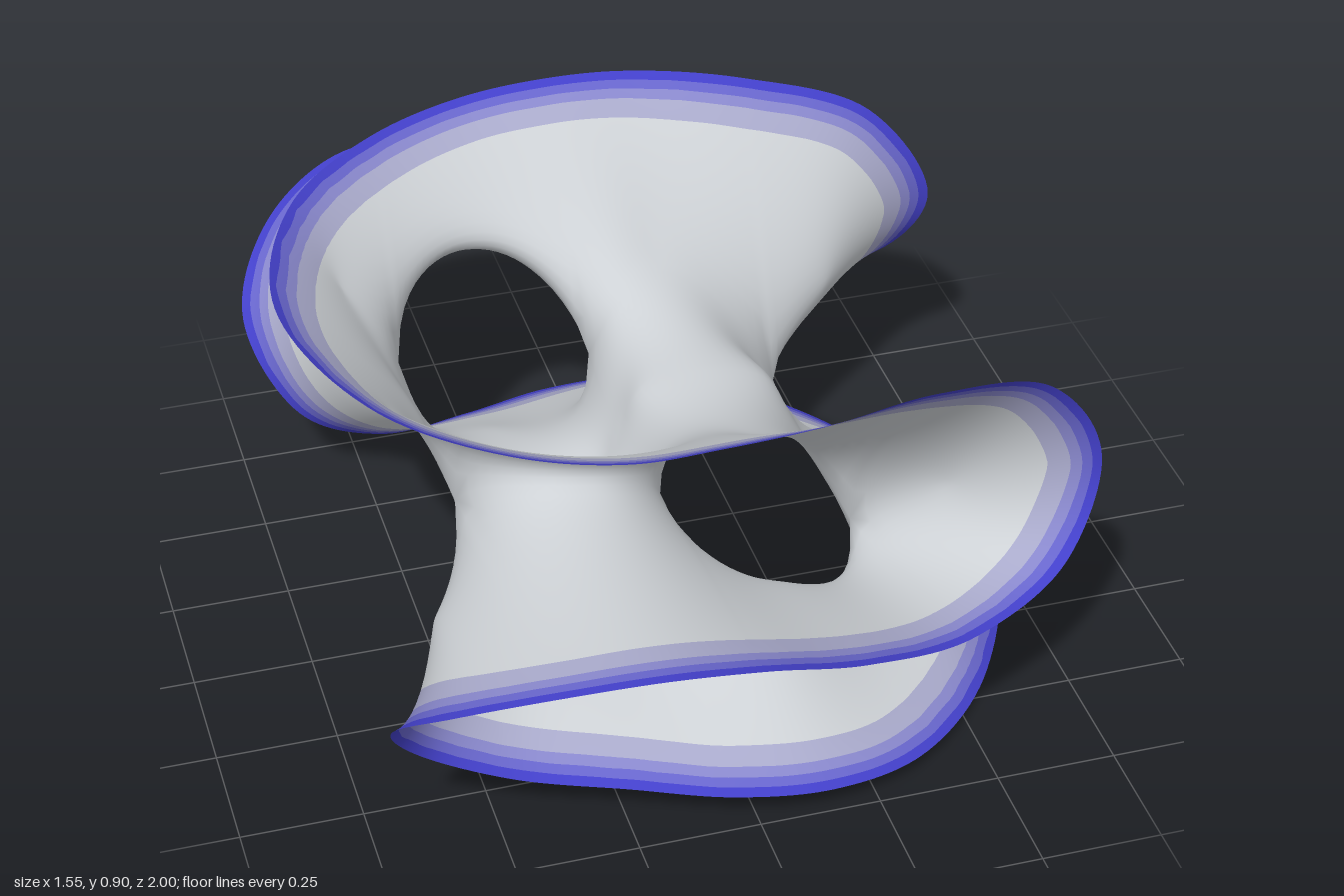
import * as THREE from 'three';

const N = 12; // grid steps per patch side

// Half of the rim (z >= 0): upper strand, right lobe, middle strand, left lobe, lower strand
const RIM = [
  [-0.775, 0.89, 0],
  [-0.66, 0.885, 0.39], [-0.45, 0.885, 0.6], [-0.25, 0.89, 0.69], [-0.07, 0.9, 0.705],
  [0.13, 0.9, 0.69], [0.38, 0.88, 0.62], [0.64, 0.8, 0.55],
  [0.775, 0.58, 0.515],
  [0.68, 0.395, 0.595], [0.45, 0.35, 0.715], [0.18, 0.44, 0.845], [-0.06, 0.56, 0.95],
  [-0.27, 0.62, 0.998], [-0.46, 0.615, 0.985], [-0.64, 0.53, 0.885],
  [-0.73, 0.39, 0.73],
  [-0.64, 0.205, 0.605], [-0.46, 0.11, 0.61], [-0.25, 0.085, 0.67], [-0.05, 0.07, 0.735],
  [0.15, 0.055, 0.75], [0.36, 0.035, 0.68], [0.59, 0.015, 0.44],
  [0.75, 0, 0],
];
// Wave of the sheet along the mirror plane, two points per patch side
const WAVE = [
  [-0.775, 0.89, 0], [-0.68, 0.82, 0], [-0.59, 0.73, 0], [-0.515, 0.62, 0], [-0.465, 0.51, 0],
  [-0.415, 0.415, 0], [-0.27, 0.355, 0], [-0.135, 0.385, 0], [-0.08, 0.465, 0], [-0.03, 0.555, 0],
  [0.1, 0.592, 0], [0.23, 0.55, 0], [0.285, 0.45, 0], [0.34, 0.345, 0], [0.45, 0.23, 0],
  [0.59, 0.11, 0], [0.75, 0, 0],
];
// Saddle points, and the middles of the arcs that join them
const SADDLES = [[-0.485, 0.545, 0.25], [-0.07, 0.475, 0.27], [0.34, 0.335, 0.26]];
const ARCS = [
  { GT: [-0.6, 0.765, 0.22], MB: [-0.59, 0.455, 0.5] },
  { TM: [-0.27, 0.67, 0.44], BG: [-0.28, 0.315, 0.28] },
  { GT: [0.1, 0.645, 0.33], MB: [0.13, 0.33, 0.43] },
  { TM: [0.5, 0.48, 0.385], BG: [0.5, 0.16, 0.27] },
];
const BANDS = [
  ['rimEdge', 0.021, 'deep blue', 0x4340ca],
  ['rimBandInner', 0.042, 'mid blue', 0x6866cc],
  ['rimBandSoft', 0.065, 'soft blue', 0x8988cc],
  ['rimBandPale', 0.11, 'pale blue grey', 0xa9aacb],
  ['sheet', Infinity, 'light grey', 0xcdd1d5],
];

const vectors = (list) => list.map((p) => new THREE.Vector3(...p));
const rimCurve = new THREE.CatmullRomCurve3(
  vectors([...RIM, ...RIM.slice(1, -1).reverse().map(([x, y, z]) => [x, y, -z])]), true);
const waveCurve = new THREE.CatmullRomCurve3(vectors(WAVE));
const rimAt = (k) => rimCurve.getPoint(k / 48).toArray();
const waveAt = (g) => waveCurve.getPoint(g / 8).toArray();

// Patch corners: k counts along the rim, g along the wave, -1 means neither
const inside = (p) => ({ p, k: -1, g: -1 });
const rimCorner = (k) => ({ p: RIM[k], k, g: { 0: 0, 24: 8 }[k] ?? -1 });
// Corner on strand T, M, B (rim) or G (wave) at station s
function strand(name, s) {
  const g = 2 * s + 1;
  if (name === 'G') return { p: WAVE[2 * g], k: -1, g };
  return rimCorner({ T: 1 + 2 * s, M: 15 - 2 * s, B: 17 + 2 * s }[name]);
}

// Four-sided patches: eight around each saddle, and one closing each of the four lobes
function patches() {
  const list = [];
  SADDLES.forEach((p, i) => {
    const c = inside(p), h = i + 0.5;
    for (const s of [i, i + 1]) for (const [name, mid] of Object.entries(ARCS[s])) {
      const [X, Y] = name, a = inside(mid);
      const pair = [[c, strand(X, h), strand(X, s), a], [c, a, strand(Y, s), strand(Y, h)]];
      list.push(...pair.map((q) => (i % 2 ? q.reverse() : q)));
    }
  });
  for (const [s, name, k] of [[0, 'GT', 0], [0, 'MB', 16], [3, 'TM', 8], [3, 'BG', 24]]) {
    list.push([rimCorner(k), strand(name[1], s), inside(ARCS[s][name]), strand(name[0], s)]);
  }
  return list;
}

// Point on the rim or wave between two neighbouring corners
function along(a, b, f) {
  const next = (key) => a[key] >= 0 && b[key] >= 0 && Math.abs(a[key] - b[key]) === 1;
  if (next('k')) return { p: rimAt(a.k + (b.k - a.k) * f), rim: true };
  if (next('g')) return { p: waveAt(a.g + (b.g - a.g) * f), rim: false };
  return null;
}

// Welded grid of all patches and their mirror images
function buildGrid() {
  const pos = [], pinned = [], onRim = [], near = [], index = [], ids = new Map();
  const link = (a, b) => { near[a].add(b); near[b].add(a); };
  for (const q of patches()) for (const side of [1, -1]) {
    const grid = [];
    for (let j = 0; j <= N; j++) for (let i = 0; i <= N; i++) {
      const u = i / N, v = j / N;
      const w = [(1 - u) * (1 - v), u * (1 - v), u * v, (1 - u) * v];
      const flat = [0, 1, 2].map((d) => q.reduce((sum, c, n) => sum + c.p[d] * w[n], 0));
      flat[2] *= side;
      const key = flat.map((x) => Math.round(x * 1e5)).join();
      if (!ids.has(key)) {
        ids.set(key, pos.length);
        pos.push(flat); near.push(new Set()); pinned.push(false); onRim.push(false);
      }
      const id = ids.get(key);
      grid.push(id);
      const edges = [j === 0 && along(q[0], q[1], u), i === N && along(q[1], q[2], v),
        j === N && along(q[3], q[2], u), i === 0 && along(q[0], q[3], v)];
      for (const edge of edges) if (edge) {
        pos[id] = [edge.p[0], edge.p[1], edge.p[2] * side];
        pinned[id] = true;
        onRim[id] ||= edge.rim;
      }
      if (i % N === 0 && j % N === 0) pinned[id] = true;
    }
    for (let j = 0; j <= N; j++) for (let i = 0; i <= N; i++) {
      const a = grid[j * (N + 1) + i], b = grid[j * (N + 1) + i + 1], d = grid[(j + 1) * (N + 1) + i];
      if (i < N) link(a, b);
      if (j < N) link(a, d);
      if (i === N || j === N) continue;
      const c = grid[(j + 1) * (N + 1) + i + 1];
      index.push(...(side > 0 ? [a, b, c, a, c, d] : [a, c, b, a, d, c]));
    }
  }
  return { pos, pinned, onRim, near: near.map((s) => [...s]), index };
}

// Thin-plate smoothing through the pinned points, by conjugate gradients
function relax({ pos, pinned, onRim, near }) {
  const n = pos.length;
  const apply = (x) => {
    const l = new Float64Array(n), out = new Float64Array(n);
    for (let i = 0; i < n; i++) {
      if (onRim[i]) continue;
      let sum = 0;
      for (const j of near[i]) sum += x[j];
      l[i] = x[i] - sum / near[i].length;
    }
    for (let i = 0; i < n; i++) {
      if (pinned[i]) continue;
      out[i] = l[i];
      for (const j of near[i]) out[i] -= l[j] / near[j].length;
    }
    return out;
  };
  const dot = (a, b) => { let s = 0; for (let i = 0; i < n; i++) s += a[i] * b[i]; return s; };
  for (let d = 0; d < 3; d++) {
    const x = Float64Array.from(pos, (p) => p[d]);
    const r = apply(x).map((v) => -v), dir = r.slice();
    let rr = dot(r, r);
    for (let it = 0; it < 700 && rr > 1e-14; it++) {
      const ad = apply(dir), step = rr / dot(dir, ad);
      for (let i = 0; i < n; i++) { x[i] += step * dir[i]; r[i] -= step * ad[i]; }
      const next = dot(r, r), beta = next / rr;
      for (let i = 0; i < n; i++) dir[i] = r[i] + beta * dir[i];
      rr = next;
    }
    pos.forEach((p, i) => { p[d] = x[i]; });
  }
}

// Keep the part of a polygon on one side of a rim distance (last value of each corner)
function clip(poly, limit, sign) {
  const out = [];
  poly.forEach((a, i) => {
    const b = poly[(i + 1) % poly.length];
    const da = sign * (a[6] - limit), db = sign * (b[6] - limit);
    if (da >= 0) out.push(a);
    if (da * db < 0) out.push(a.map((v, k) => v + (b[k] - v) * da / (da - db)));
  });
  return out;
}

export function createModel() {
  const grid = buildGrid();
  relax(grid);
  const base = new THREE.BufferGeometry();
  base.setAttribute('position', new THREE.Float32BufferAttribute(grid.pos.flat(), 3));
  base.setIndex(grid.index);
  base.computeVertexNormals();
  const normal = base.attributes.normal;
  // Corner data: position, normal, distance from the rim
  const samples = Array.from({ length: 480 }, (_, i) => rimAt(i / 10));
  const corners = grid.pos.map((p, i) => {
    const d = grid.onRim[i] ? 0
      : Math.min(...samples.map((s) => Math.hypot(p[0] - s[0], p[1] - s[1], p[2] - s[2])));
    return [...p, normal.getX(i), normal.getY(i), normal.getZ(i), d];
  });
  // One mesh for each band of colour, from the rim inwards
  const model = new THREE.Group();
  model.name = 'curvedSheet';
  let inner = 0;
  for (const [name, outer, colourName, color] of BANDS) {
    const points = [], normals = [];
    for (let t = 0; t < grid.index.length; t += 3) {
      let poly = [0, 1, 2].map((k) => corners[grid.index[t + k]]);
      if (inner > 0) poly = clip(poly, inner, 1);
      if (outer < Infinity) poly = clip(poly, outer, -1);
      for (let k = 2; k < poly.length; k++) for (const c of [poly[0], poly[k - 1], poly[k]]) {
        points.push(c[0], c[1], c[2]);
        normals.push(c[3], c[4], c[5]);
      }
    }
    const geometry = new THREE.BufferGeometry();
    geometry.setAttribute('position', new THREE.Float32BufferAttribute(points, 3));
    geometry.setAttribute('normal', new THREE.Float32BufferAttribute(normals, 3));
    const material = new THREE.MeshStandardMaterial({ color, side: THREE.DoubleSide });
    material.name = colourName;
    const mesh = new THREE.Mesh(geometry, material);
    mesh.name = name;
    model.add(mesh);
    inner = outer;
  }
  return model;
}
